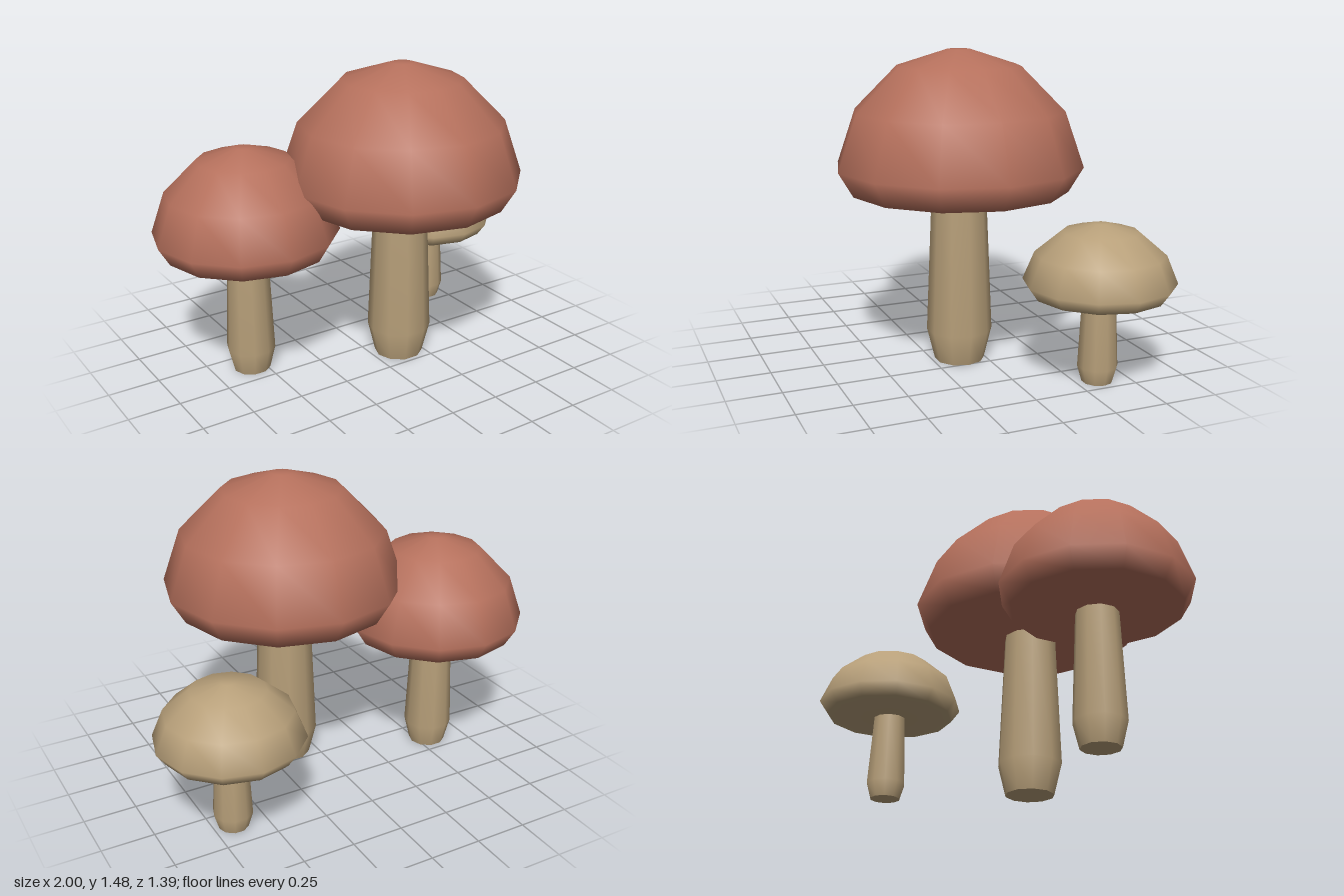
import * as THREE from 'three';

const red = new THREE.MeshStandardMaterial({ color: 0xb5705c });
red.name = 'terracotta red';
const tan = new THREE.MeshStandardMaterial({ color: 0xb8a07a });
tan.name = 'warm tan';

// Profiles as [radius, height], running from the bottom up
const capProfile = [[0, 0.803], [0.508, 0.828], [0.576, 0.943], [0.488, 1.198], [0.287, 1.4], [0.054, 1.475], [0, 1.475]];
const stemProfile = [[0.118, 0], [0.155, 0.15], [0.128, 0.81]];

function lathe(profile, sides, width, height) {
  return new THREE.LatheGeometry(profile.map(([r, y]) => new THREE.Vector2(r * width, y * height)), sides);
}

function mushroom(name, x, z, width, height, capMaterial) {
  const group = new THREE.Group();
  group.name = name;
  group.position.set(x, 0, z);

  // Twelve-sided domed cap with a shallow conical underside
  const cap = new THREE.Mesh(lathe(capProfile, 12, width, height), capMaterial);
  cap.name = 'cap';

  // Ten-sided stem, swollen near the ground
  const stem = new THREE.Mesh(lathe(stemProfile, 10, width, height).rotateY(Math.PI / 2), tan);
  stem.name = 'stem';

  // Flat foot closing the stem
  const foot = new THREE.Mesh(new THREE.CircleGeometry(stemProfile[0][0] * width, 10).rotateX(Math.PI / 2), tan);
  foot.name = 'stemBase';

  group.add(cap, stem, foot);
  return group;
}

export function createModel() {
  const model = new THREE.Group();
  model.name = 'mushrooms';
  model.add(
    mushroom('largeMushroom', 0.143, 0.116, 1, 1, red),
    mushroom('mediumMushroom', -0.56, -0.133, 0.762, 0.762, red),
    mushroom('smallMushroom', 0.655, -0.352, 0.598, 0.499, tan),
  );
  return model;
}
